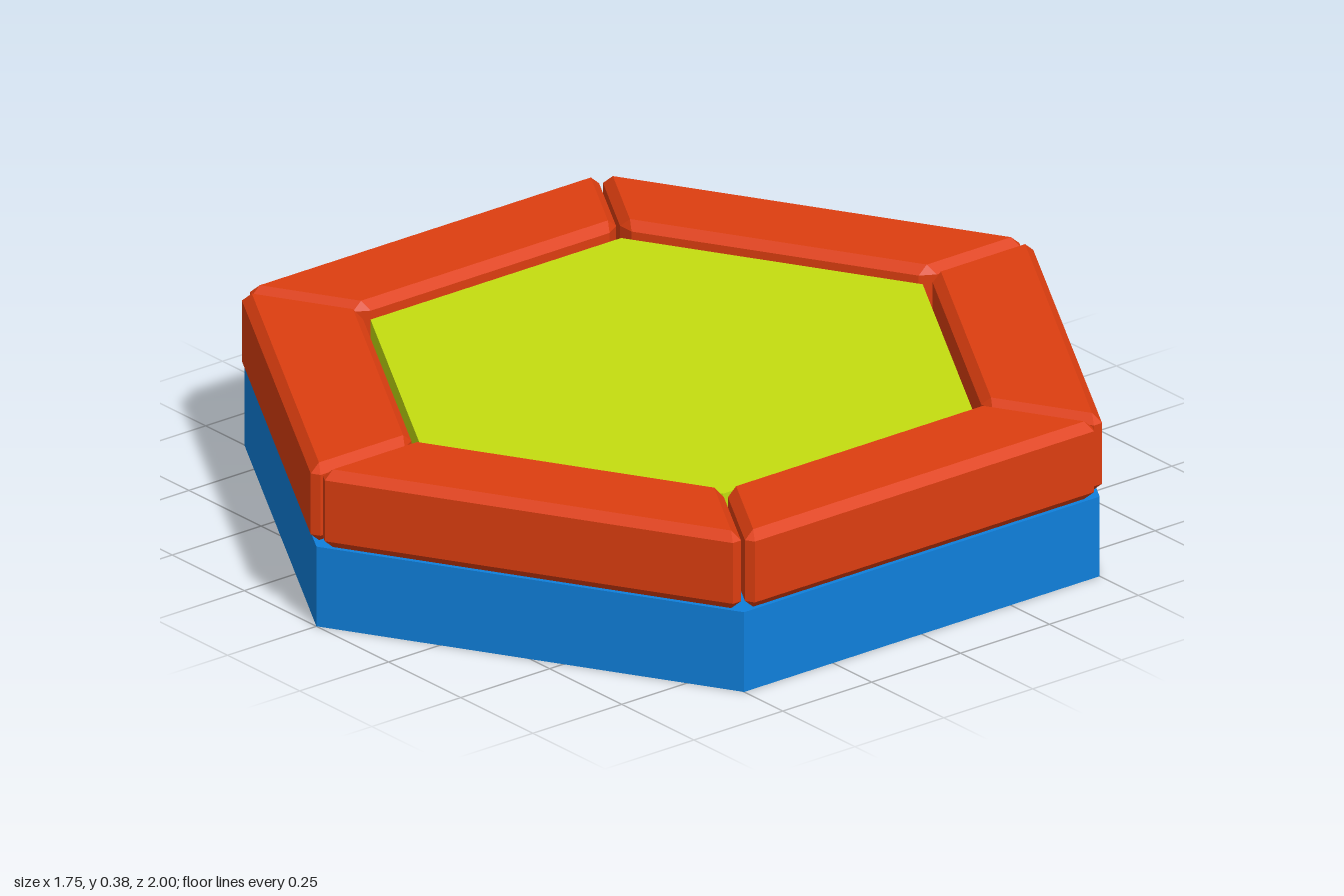
import * as THREE from 'three';
import { ConvexGeometry } from 'three/addons/geometries/ConvexGeometry.js';

const BASE_TOP = 0.19, TILE_TOP = 0.345, BLOCK_TOP = 0.375;
const OUTER = 0.875, INNER = 0.63; // distance of the border's faces from the centre
const GAP = 0.005, BEVEL = 0.02;

function material(color) {
  return new THREE.MeshStandardMaterial({ color, flatShading: true });
}

// Hexagonal prism with corners on the z axis
function hexPrism(name, radius, bottom, top, color) {
  const geometry = new THREE.CylinderGeometry(radius, radius, top - bottom, 6);
  const mesh = new THREE.Mesh(geometry, material(color));
  mesh.name = name;
  mesh.position.y = (bottom + top) / 2;
  return mesh;
}

// Mitred block facing +z, with every edge chamfered
function blockGeometry() {
  const halfWidth = (z) => z * Math.tan(Math.PI / 6) - GAP;
  const corners = [[1, OUTER], [1, INNER], [-1, INNER], [-1, OUTER]]
    .map(([side, z]) => new THREE.Vector2(side * halfWidth(z), z));
  const d = BEVEL / Math.sin(Math.PI / 3);
  const points = [];
  corners.forEach((corner, i) => {
    const u = corners[(i + 1) % 4].clone().sub(corner).setLength(d);
    const v = corners[(i + 3) % 4].clone().sub(corner).setLength(d);
    const a = corner.clone().add(u), b = corner.clone().add(v), c = a.clone().add(v);
    for (const [y, inward] of [[BASE_TOP, 1], [BLOCK_TOP, -1]]) {
      points.push(
        new THREE.Vector3(a.x, y + inward * BEVEL, a.y),
        new THREE.Vector3(b.x, y + inward * BEVEL, b.y),
        new THREE.Vector3(c.x, y, c.y));
    }
  });
  return new ConvexGeometry(points);
}

export function createModel() {
  const model = new THREE.Group();
  model.name = 'hexagonTile';

  // Base slab and the raised centre tile
  model.add(hexPrism('base', 1, 0, BASE_TOP, 0x0f80dc));
  model.add(hexPrism('centreTile', 0.705, BASE_TOP, TILE_TOP, 0xc4dd10));

  // Ring of six border blocks
  const border = new THREE.Group();
  border.name = 'border';
  const geometry = blockGeometry();
  const red = material(0xdd3e10);
  for (let i = 0; i < 6; i++) {
    const block = new THREE.Mesh(geometry, red);
    block.name = `borderBlock${i + 1}`;
    block.rotation.y = Math.PI / 6 + i * Math.PI / 3;
    border.add(block);
  }
  model.add(border);
  return model;
}
